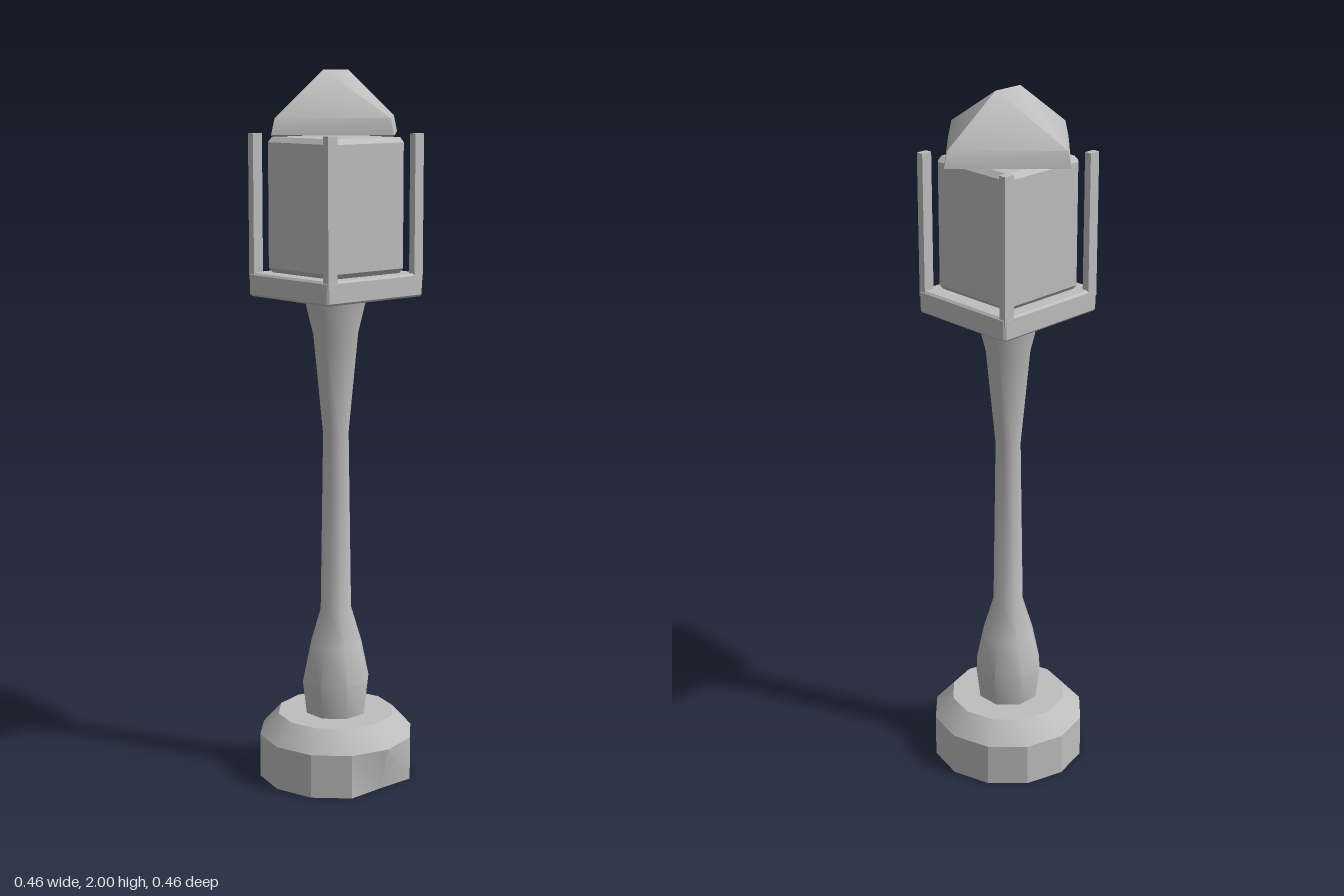
import * as THREE from 'three';
import { toCreasedNormals } from 'three/addons/utils/BufferGeometryUtils.js';
import { ConvexGeometry } from 'three/addons/geometries/ConvexGeometry.js';

const stone = new THREE.MeshStandardMaterial({ color: 0xbebebe });
stone.name = 'stone grey';

export function createModel() {
  const group = new THREE.Group();
  group.name = 'gardenLantern';

  const add = (name, geometry, crease = 0.5) => {
    const mesh = new THREE.Mesh(toCreasedNormals(geometry, crease), stone);
    mesh.name = name;
    group.add(mesh);
    return mesh;
  };
  const lathe = (profile, sides) =>
    new THREE.LatheGeometry(profile.map(([r, y]) => new THREE.Vector2(r, y)), sides);

  // Block from y0 to y1 with all edges chamfered by c
  const chamferedBox = (w, d, y0, y1, c) => {
    const points = [];
    for (const sx of [-1, 1]) for (const sz of [-1, 1]) for (const sy of [-1, 1]) {
      const x = w / 2, z = d / 2, h = (y1 - y0) / 2, m = (y0 + y1) / 2;
      points.push(
        new THREE.Vector3(sx * x, m + sy * (h - c), sz * (z - c)),
        new THREE.Vector3(sx * (x - c), m + sy * h, sz * (z - c)),
        new THREE.Vector3(sx * (x - c), m + sy * (h - c), sz * z));
    }
    return new ConvexGeometry(points);
  };

  // Twelve-sided foot, chipped at the lower left corner
  const foot = lathe([[0, 0], [0.222, 0], [0.222, 0.125], [0.168, 0.185], [0, 0.185]], 12);
  const p = foot.attributes.position;
  for (let i = 0; i < p.count; i++) {
    if (p.getY(i) < 0.01 && p.getX(i) > 0.21) p.setX(i, 0.19);
  }
  add('foot', foot);

  // Slender waisted column
  const column = lathe([[0.088, 0.18], [0.1, 0.28], [0.078, 0.385], [0.046, 0.49],
    [0.038, 1.0], [0.066, 1.28], [0.094, 1.39]], 8);
  column.rotateY(Math.PI / 8);
  add('column', column, 0.82);

  // Tray under the lamp housing
  add('tray', chamferedBox(0.33, 0.352, 1.385, 1.45, 0.006), 0.3);

  // Lamp housing with chamfered edges
  add('lampHousing', chamferedBox(0.274, 0.276, 1.45, 1.82, 0.014), 0.3);

  // Corner posts
  for (const sx of [-1, 1]) for (const sz of [-1, 1]) {
    const post = add('cornerPost', new THREE.BoxGeometry(0.021, 0.4, 0.032));
    post.position.set(sx * 0.154, 1.63, sz * 0.158);
  }

  // Diamond-plan roof with a short ridge running front to back
  const roof = [];
  for (const [r, y] of [[0.23, 1.83], [0.217, 1.875]]) {
    for (const s of [-1, 1]) {
      roof.push(new THREE.Vector3(s * r, y, 0), new THREE.Vector3(0, y, s * r));
    }
  }
  for (const s of [-1, 1]) roof.push(new THREE.Vector3(0, 2, s * 0.045));
  add('roof', new ConvexGeometry(roof), 0.6);

  return group;
}
